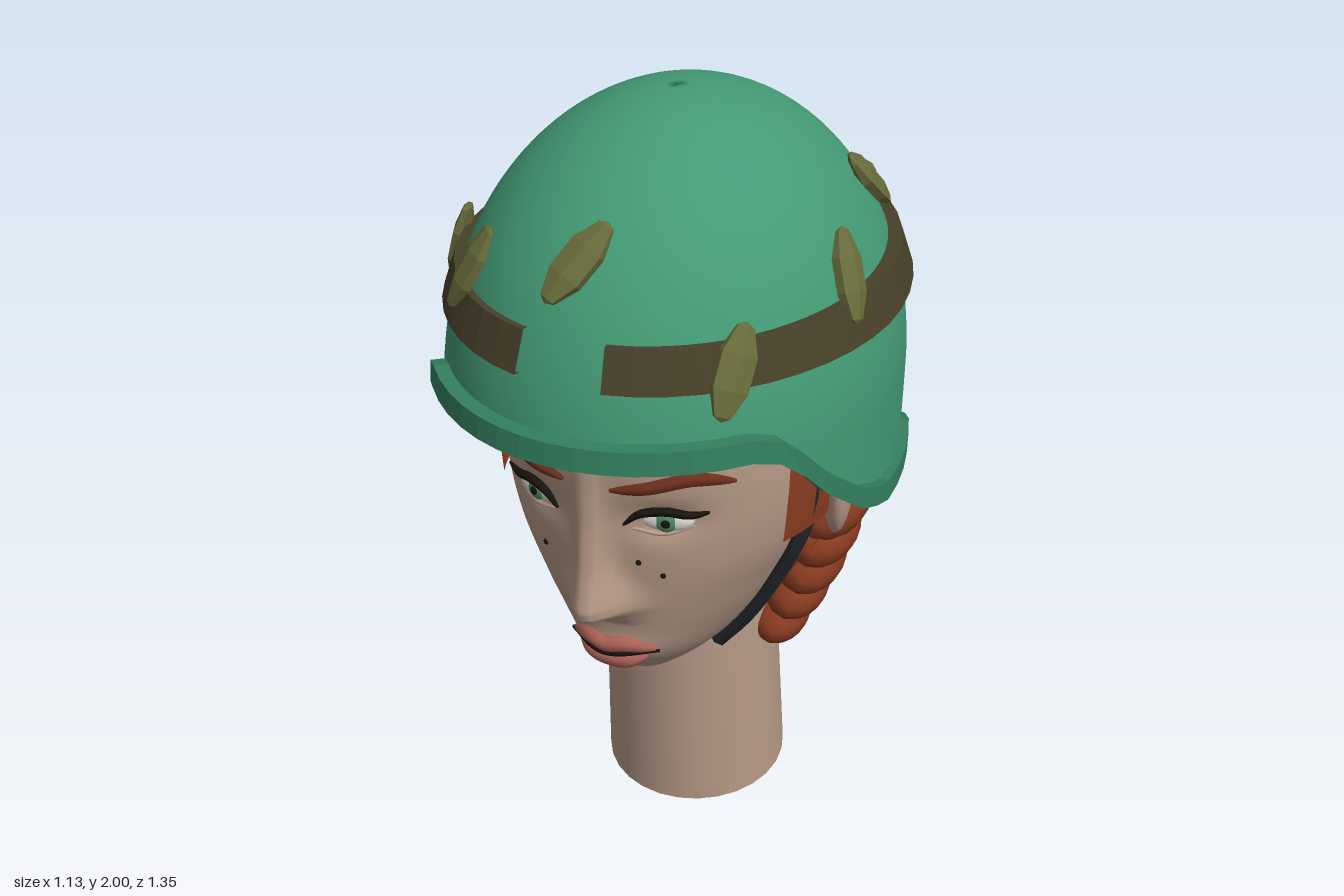
import * as THREE from 'three';
import { ParametricGeometry } from 'three/addons/geometries/ParametricGeometry.js';

const mat = (color, flatShading = false) =>
  new THREE.MeshStandardMaterial({ color, flatShading, side: THREE.DoubleSide });
const M = {
  skin: mat(0xb89b88), shell: mat(0x439a75), rim: mat(0x33805f, true), band: mat(0x474029, true),
  leaf: mat(0x686c3a, true), hair: mat(0x8a3c20), brow: mat(0x6a2d1b), strap: mat(0x22262a),
  lips: mat(0xa85f55), dark: mat(0x17130f), white: mat(0xd8d8d2), iris: mat(0x4c8a63),
};

// Table lookup: first column is the key, the rest are interpolated
const track = (rows, Kind = THREE.CubicInterpolant) => {
  const it = new Kind(rows.map(r => r[0]), rows.flatMap(r => r.slice(1)), rows[0].length - 1);
  return t => [...it.evaluate(t)];
};
const surface = (fn, nu, nv) =>
  new ParametricGeometry((u, v, p) => p.set(...fn(u, v)), nu, nv);

// Head cross-sections: y, half width, front depth, back depth
const head = track([
  [0.495, 0.005, 0.12, 0.005], [0.51, 0.07, 0.2, 0.05], [0.55, 0.13, 0.265, 0.1], [0.6, 0.18, 0.325, 0.14],
  [0.65, 0.22, 0.365, 0.18], [0.75, 0.285, 0.4, 0.27], [0.85, 0.335, 0.425, 0.36], [0.95, 0.378, 0.445, 0.44],
  [1.05, 0.402, 0.46, 0.48], [1.15, 0.41, 0.475, 0.5], [1.25, 0.408, 0.49, 0.5], [1.35, 0.4, 0.5, 0.5],
  [1.5, 0.37, 0.45, 0.47]]);
const noseHeight = track([[0.78, 0], [0.815, 0.04], [0.85, 0.105], [0.88, 0.107], [0.98, 0.072],
  [1.1, 0.04], [1.2, 0.02], [1.32, 0]], THREE.LinearInterpolant);
const bell = t => Math.exp(-t * t);

// Nose, eye sockets and mouth raised or sunk from the smooth face
const relief = (x, y) => {
  const wide = 0.035 + 0.035 * bell((y - 0.85) / 0.09);
  return noseHeight(y)[0] * bell(x / wide)
    - 0.025 * bell((Math.abs(x) - 0.165) / 0.08) * bell((y - 1.115) / 0.05)
    + 0.018 * bell(x / 0.11) * bell((y - 0.685) / 0.05);
};
const headPoint = (a, y) => {
  const [w, f, b] = head(y), c = Math.cos(a), x = w * Math.sin(a);
  return [x, y, c > 0 ? f * c + relief(x, y) * Math.min(1, c * 3) : b * c];
};
const onFace = (x, y, lift = 0) => {
  const p = headPoint(Math.asin(x / head(y)[0]), y);
  return new THREE.Vector3(x, y, p[2] + lift);
};

// Helmet surface by angle and height
const rimY = track([[-0.68, 0.94], [-0.52, 0.94], [-0.41, 1.0], [-0.3, 1.05], [0, 1.045], [0.13, 1.09],
  [0.27, 1.2], [0.38, 1.33], [0.44, 1.36], [0.68, 1.36]], THREE.LinearInterpolant);
const edge = a => { const c = Math.cos(a); return rimY(c * (c > 0 ? 0.64 : 0.67))[0]; };
const helmetPoint = (a, y, out = 0) => {
  const c = Math.cos(a), s = Math.sin(a), t = Math.max(0, (y - 1.3) / 0.7);
  const f = Math.max(0.002, Math.sqrt(Math.max(0, 1 - t * t)));
  const tuck = y < 1.3 ? 0.05 * ((1.3 - y) / 0.35) ** 2 : 0;
  const depth = c > 0 ? 0.635 : 0.675 - tuck;
  return [(0.54 * f + out) * s, y, (depth * f + out) * c];
};

// Strip with a four-cornered section running round the helmet
const belt = (corners, a0, a1, n) => surface((u, v) => {
  const a = a0 + (a1 - a0) * u, list = corners(a), [out, y] = list[Math.round(v * 4) % 4];
  return helmetPoint(a, y, out);
}, n, 4);

// Tube that can narrow to its ends
const tube = (pts, r, taper = 0, sides = 6) => {
  const n = 16, curve = new THREE.CatmullRomCurve3(pts);
  const g = new THREE.TubeGeometry(curve, n, r, sides), pos = g.attributes.position, v = new THREE.Vector3();
  for (let i = 0; i < pos.count; i++) {
    const t = Math.floor(i / (sides + 1)) / n, p = curve.getPointAt(t);
    const s = 1 - taper * Math.abs(2 * t - 1) ** 3;
    v.fromBufferAttribute(pos, i).sub(p).multiplyScalar(s).add(p);
    pos.setXYZ(i, v.x, v.y, v.z);
  }
  g.computeVertexNormals();
  return g;
};

export function createModel() {
  const model = new THREE.Group();
  const add = (name, geo, material) => {
    const m = new THREE.Mesh(geo, material);
    m.name = name;
    model.add(m);
    return m;
  };
  const blob = (name, material, p, s, w = 16, h = 10) => {
    const m = add(name, new THREE.SphereGeometry(1, w, h), material);
    m.position.set(...p);
    m.scale.set(...s);
    return m;
  };

  // Head and neck
  add('head', surface((u, v) => headPoint((u * 2 - 1) * Math.PI, 0.495 + v * 1.0), 96, 72), M.skin);
  const neck = add('neck', new THREE.CylinderGeometry(0.222, 0.245, 0.75, 28), M.skin);
  neck.position.set(0, 0.395, -0.1);
  neck.rotation.x = 0.075;

  // Hair behind the ears and along the temples
  const hair = track([[0.6, 0.15, 0.26], [0.66, 0.23, 0.34], [0.8, 0.34, 0.45], [0.93, 0.41, 0.52],
    [1.1, 0.435, 0.57], [1.4, 0.44, 0.58]]);
  const hairPoint = (a, y) => {
    const [w, b] = hair(y), c = Math.cos(a);
    return [w * Math.sin(a), y, c * (c > 0 ? 0.48 : b)];
  };
  add('backHair', surface((u, v) => hairPoint(1.62 + u * (2 * Math.PI - 3.24), 0.6 + v * 0.8), 40, 20), M.hair);
  blob('fringe', M.hair, [0, 1.34, 0.495], [0.06, 0.075, 0.035]);

  for (const s of [-1, 1]) {
    add('templeHair', surface((u, v) => {
      const y = 1.0 + 0.4 * v, p = hairPoint(1.1 + u * (0.58 - 0.06 * v), y);
      return [p[0] * s, p[1], p[2]];
    }, 8, 8), M.hair);
    const lock = blob('fringeLock', M.hair, onFace(0.3 * s, 1.35, 0).toArray(), [0.07, 0.06, 0.03]);
    lock.rotation.set(0, 0.7 * s, 0);
    const ear = blob('ear', M.skin, [0.43 * s, 1.04, -0.02], [0.035, 0.14, 0.08]);
    ear.rotation.set(0.15, 0.3 * s, -0.1 * s);

    // Braid of overlapping beads, shrinking downwards
    for (let i = 0; i < 6; i++) {
      const t = i / 5;
      const bead = blob('braid', M.hair, [s * (0.375 - 0.03 * t - 0.095 * t * t), 1.0 - 0.455 * t, -0.165 + 0.045 * t],
        [0.105 - 0.03 * t, 0.088 - 0.018 * t, 0.145 - 0.04 * t], 14, 9);
      bead.rotation.set(0.2, 0, 0.35 * s);
    }

    // Chin strap lying on the jaw
    const strap = [1.2, 1.05, 0.95, 0.8, 0.68, 0.58].map(y =>
      new THREE.Vector3(s * (head(y)[0] * 0.97 + 0.008), y, 0.105));
    add('chinStrap', tube(strap, 0.025), M.strap);

    // Eye
    const c = onFace(0.165 * s, 1.115);
    const eye = new THREE.Group();
    eye.name = 'eye';
    eye.position.copy(c);
    eye.rotation.y = 0.3 * s;
    for (const [name, m, z, w, h, d] of [['eyeWhite', M.white, 0, 0.066, 0.03, 0.022],
      ['iris', M.iris, 0.014, 0.027, 0.027, 0.012], ['pupil', M.dark, 0.022, 0.012, 0.012, 0.008]]) {
      const e = blob(name, m, [0, 0, z], [w, h, d]);
      eye.add(e);
    }
    model.add(eye);
    const along = (list, lift) => list.map(([x, y]) => onFace(x * s, y, lift));
    add('upperLash', tube(along([[0.085, 1.115], [0.12, 1.147], [0.175, 1.155], [0.225, 1.14], [0.262, 1.145]], 0.02),
      0.011, 0.7), M.dark);
    add('lowerLid', tube(along([[0.1, 1.1], [0.165, 1.083], [0.23, 1.105]], 0.012), 0.006, 0.6), M.skin);
    add('eyebrow', tube(along([[0.06, 1.21], [0.14, 1.222], [0.23, 1.24], [0.305, 1.215]], 0.008), 0.018, 0.75), M.brow);
  }

  // Mouth
  const mouth = (list, lift) => list.map(([x, y]) => onFace(x, y, lift));
  add('upperLip', tube(mouth([[-0.11, 0.695], [-0.04, 0.718], [0, 0.71], [0.04, 0.718], [0.11, 0.695]], 0.004),
    0.021, 0.7, 10), M.lips);
  add('lowerLip', tube(mouth([[-0.09, 0.672], [-0.04, 0.658], [0.04, 0.658], [0.09, 0.672]], 0.004),
    0.024, 0.7, 10), M.lips);
  add('mouthLine', tube(mouth([[-0.12, 0.69], [0, 0.688], [0.12, 0.69]], 0.014), 0.008, 0.5), M.dark);

  // Freckles
  for (const [x, y] of [[-0.155, 0.965], [0.105, 0.995], [0.155, 0.955]])
    blob('freckle', M.dark, onFace(x, y).toArray(), [0.008, 0.008, 0.005], 8, 6);

  // Helmet shell with its rim and band
  add('helmetShell', surface((u, v) => {
    const a = u * 2 * Math.PI, r = edge(a) + 0.02;
    return helmetPoint(a, r + (2 - r) * Math.sin(v * Math.PI / 2));
  }, 80, 36), M.shell);
  add('helmetRim', belt(a => {
    const y = edge(a), o = 0.022 + 0.018 * Math.max(0, Math.cos(a));
    return [[-0.015, y], [o, y], [o, y + 0.055], [-0.015, y + 0.055]];
  }, 0, 2 * Math.PI, 56), M.rim);
  add('helmetBand', belt(a => {
    const o = 0.034 - 0.02 * Math.max(0, Math.cos(a));
    return [[-0.01, 1.525], [o, 1.525], [o, 1.62], [-0.01, 1.62]];
  }, 0.2, 2 * Math.PI - 0.2, 44), M.band);

  // Leaves tucked round the band: x, z, y, clockwise tilt
  const leafShape = new THREE.LatheGeometry([[0.001, -0.11], [0.022, -0.1], [0.048, -0.04], [0.048, 0.04],
    [0.022, 0.1], [0.001, 0.11]].map(p => new THREE.Vector2(...p)), 6).scale(1, 1, 0.45);
  for (const [x, z, y, tilt] of [[0, 0.47, 1.755, 0.45], [-0.29, 0.41, 1.66, 0.15], [0.325, 0.44, 1.56, 0.4],
    [-0.505, 0.12, 1.56, 0.15], [0.47, 0.11, 1.66, 0.3], [-0.4, -0.235, 1.75, -0.6],
    [0.4, -0.23, 1.75, -0.6], [-0.25, -0.53, 1.66, 0], [0.27, -0.57, 1.57, -0.4]]) {
    const p = new THREE.Vector3(...helmetPoint(Math.atan2(x / 0.54, z / (z > 0 ? 0.635 : 0.675)), y));
    const n = new THREE.Vector3(p.x / 0.29, (y - 1.3) / 0.49, p.z / 0.42).normalize();
    const side = new THREE.Vector3(0, 1, 0).cross(n).normalize();
    const leaf = add('leaf', leafShape, M.leaf);
    leaf.quaternion.setFromRotationMatrix(new THREE.Matrix4().makeBasis(side, n.clone().cross(side), n));
    leaf.rotateZ(-tilt);
    leaf.position.copy(p).addScaledVector(n, y < 1.6 ? 0.035 : 0.02);
  }
  return model;
}
